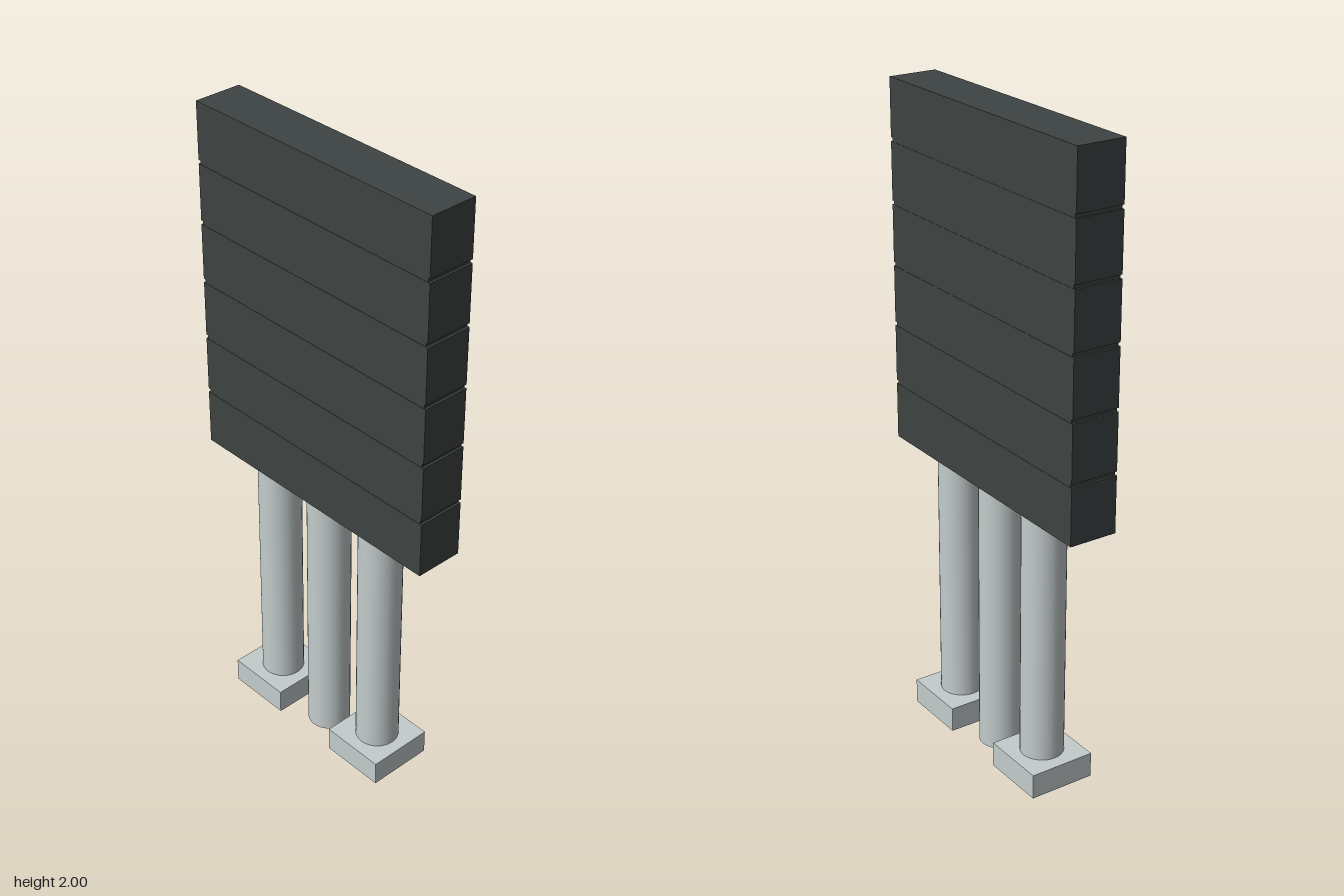
import * as THREE from 'three';

export function createModel() {
  const group = new THREE.Group();
  const panelDark = new THREE.MeshStandardMaterial({ color: 0x3e4443 });
  panelDark.name = 'charcoal panel';
  const metal = new THREE.MeshStandardMaterial({ color: 0xc4cccc });
  metal.name = 'pale grey metal';

  const add = (name, geometry, material, x, y, z) => {
    const mesh = new THREE.Mesh(geometry, material);
    mesh.name = name;
    mesh.position.set(x, y, z);
    group.add(mesh);
  };

  // Stacked slats, separated by narrow grooves over a slightly inset core
  const bottom = 0.88, top = 2, count = 6, gap = 0.012;
  const width = 0.153, depth = 0.904, panelX = -0.003;
  const slatHeight = (top - bottom - gap * (count - 1)) / count;
  const slat = new THREE.BoxGeometry(width, slatHeight, depth);
  for (let i = 0; i < count; i++) {
    add(`slat${i + 1}`, slat, panelDark, panelX, bottom + slatHeight / 2 + i * (slatHeight + gap), 0);
  }
  for (let i = 1; i < count; i++) {
    add(`grooveCore${i}`, new THREE.BoxGeometry(width - 0.002, gap, depth - 0.014), panelDark,
      panelX, bottom + i * (slatHeight + gap) - gap / 2, 0);
  }

  // Three round posts
  const post = new THREE.CylinderGeometry(0.067, 0.067, bottom, 32);
  const postNames = ['backPost', 'middlePost', 'frontPost'];
  postNames.forEach((name, i) => add(name, post, metal, -0.002, bottom / 2, (i - 1) * 0.22 - 0.002));

  // Square feet under the outer posts
  const foot = new THREE.BoxGeometry(0.212, 0.08, 0.211);
  add('backFoot', foot, metal, -0.001, 0.04, -0.224);
  add('frontFoot', foot, metal, -0.001, 0.04, 0.216);

  return group;
}
